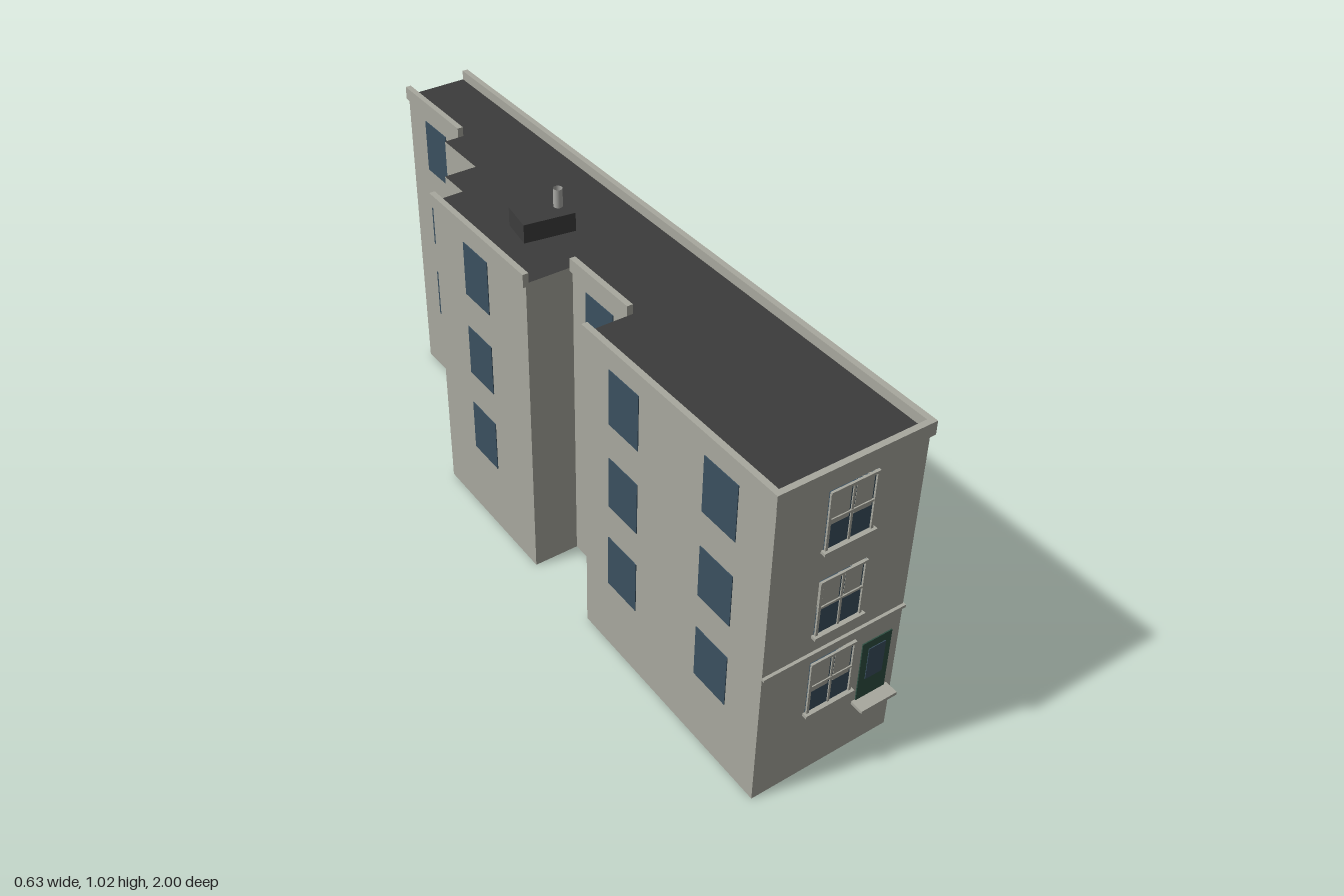
import * as THREE from 'three';

const mat = (name, color) => {
  const m = new THREE.MeshStandardMaterial({ color });
  m.name = name;
  return m;
};

export function createModel() {
  const stone = mat('stone', 0xa8a89e);
  const roofing = mat('roofing', 0x3c3c3c);
  const glass = mat('glass', 0x3a5060);
  const green = mat('doorGreen', 0x2f4f42);
  const pipeMat = mat('pipe', 0xaaaaa6);
  pipeMat.side = THREE.DoubleSide;

  const model = new THREE.Group();
  model.name = 'townhouse';
  // The building stands slightly turned on its plot
  const house = new THREE.Group();
  house.name = 'building';
  house.rotation.y = 0.15;
  model.add(house);

  // Box given by its limits on each axis
  const box = (parent, name, material, x0, x1, y0, y1, z0, z1) => {
    const mesh = new THREE.Mesh(new THREE.BoxGeometry(x1 - x0, y1 - y0, z1 - z0), material);
    mesh.position.set((x0 + x1) / 2, (y0 + y1) / 2, (z0 + z1) / 2);
    mesh.name = name;
    parent.add(mesh);
    return mesh;
  };

  // Stepped footprint, extruded up to the roof
  const R = 0.167, F = 0.964, B = -0.985;
  const plan = [
    [-0.241, F], [R, F], [R, B], [-0.018, B], [-0.018, -0.686], [-0.067, -0.686],
    [-0.067, -0.52], [-0.159, -0.52], [-0.159, -0.427], [-0.247, -0.427],
    [-0.247, 0.028], [-0.116, 0.028], [-0.116, 0.271], [-0.241, 0.271],
  ];
  const shape = new THREE.Shape(plan.map(([x, z]) => new THREE.Vector2(x, -z)));
  const bodyGeo = new THREE.ExtrudeGeometry(shape, { depth: 0.915, bevelEnabled: false });
  bodyGeo.rotateX(-Math.PI / 2);
  const body = new THREE.Mesh(bodyGeo, [roofing, stone]);
  body.name = 'wallsAndRoof';
  house.add(body);

  // Parapets along the front, the right side and four left-facing walls
  const P0 = 0.905, P1 = 0.942, out = 0.008, inn = 0.008;
  box(house, 'frontParapet', stone, -0.241 - out, R + out, P0, P1, F - inn, F + out);
  box(house, 'rightParapet', stone, R - inn, R + out, P0, P1, B, F - inn);
  for (const [x, z0, z1] of [
    [-0.241, 0.271, F - inn], [-0.116, 0.028, 0.271], [-0.247, -0.427, 0.028], [-0.018, B, -0.686],
  ]) box(house, 'leftParapet', stone, x - out, x + inn, P0, P1, z0, z1);

  // String course above the ground floor
  box(house, 'stringCourse', stone, -0.241, R + 0.002, 0.401, 0.409, F - 0.002, F + 0.008);

  // Plain side windows as thin panes
  const rows = [[0.718, 0.874], [0.467, 0.617], [0.212, 0.366]];
  const sidePane = (x, z, count) => rows.slice(0, count).forEach(([y0, y1]) =>
    box(house, 'sideWindow', glass, x - 0.002, x + 0.002, y0, y1, z - 0.0585, z + 0.0585));
  [0.79, 0.44, 0.109, -0.202, -0.514, -0.829].forEach((z, i) => sidePane(R, z, i < 4 ? 3 : 2));
  for (const [x, z] of [[-0.241, 0.787], [-0.241, 0.43], [-0.116, 0.145], [-0.247, -0.215], [-0.018, -0.832]])
    sidePane(x, z, 3);

  // Front sash windows: bottom, top and lower edge of the blind
  for (const [y0, y1, blind] of [[0.717, 0.878, 0.784], [0.464, 0.625, 0.548], [0.211, 0.372, 0.275]]) {
    const w = new THREE.Group();
    w.name = 'frontWindow';
    w.position.z = F;
    house.add(w);
    const x0 = -0.103, x1 = 0.029, xm = -0.037, t = 0.007, mid = (y0 + y1) / 2;
    box(w, 'pane', glass, x0, x1, y0, y1, -0.002, 0.002);
    for (const [a, b] of [[x0 + t + 0.004, xm - 0.007], [xm + 0.007, x1 - t - 0.004]])
      box(w, 'blind', stone, a, b, blind, y1 - t - 0.006, 0, 0.003);
    box(w, 'frameLeft', stone, x0, x0 + t, y0, y1, 0, 0.007);
    box(w, 'frameRight', stone, x1 - t, x1, y0, y1, 0, 0.007);
    box(w, 'frameTop', stone, x0, x1, y1 - t, y1, 0, 0.008);
    box(w, 'mullion', stone, xm - 0.003, xm + 0.003, y0, y1 - t, 0, 0.005);
    box(w, 'meetingRail', stone, x0 + t, x1 - t, mid - 0.003, mid + 0.003, 0, 0.006);
    box(w, 'sill', stone, x0 - 0.006, x1 + 0.006, y0 - 0.008, y0, 0, 0.014);
  }

  // Front door with a glazed panel and a step
  box(house, 'door', green, 0.0545, 0.1425, 0.154, 0.34, F - 0.002, F + 0.003);
  box(house, 'doorGlass', glass, 0.074, 0.125, 0.216, 0.316, F, F + 0.005);
  box(house, 'doorStep', stone, 0.0435, 0.152, 0.145, 0.154, F - 0.002, F + 0.038);

  // Roof box and open vent pipe, square to the plot
  box(model, 'roofBox', roofing, -0.175, -0.036, 0.91, 0.967, -0.195, -0.1);
  const pipe = new THREE.Mesh(new THREE.CylinderGeometry(0.012, 0.012, 0.055, 12, 1, true), pipeMat);
  pipe.position.set(-0.062, 0.9905, -0.148);
  pipe.name = 'ventPipe';
  model.add(pipe);

  return model;
}
